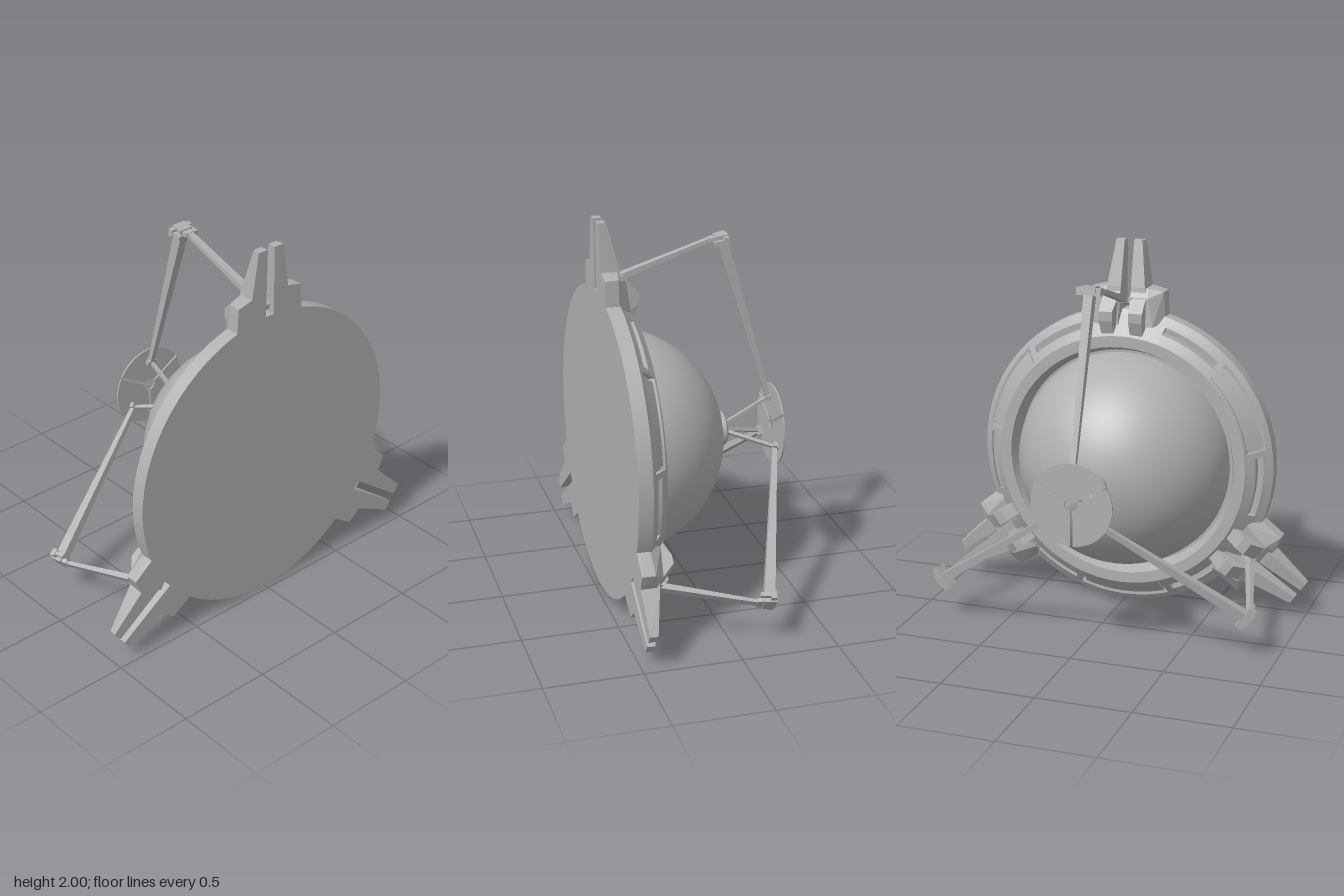
import * as THREE from 'three';
import { toCreasedNormals } from 'three/addons/utils/BufferGeometryUtils.js';
import { ConvexGeometry } from 'three/addons/geometries/ConvexGeometry.js';

const grey = new THREE.MeshStandardMaterial({ color: 0xb0b0b0 });
grey.name = 'hull grey';
const D = Math.PI / 180;

function add(parent, name, geometry) {
  const mesh = new THREE.Mesh(geometry, grey);
  mesh.name = name;
  parent.add(mesh);
  return mesh;
}

// Solid of revolution about the x axis from [radius, x] points
function turned(points, segments = 64, crease = 0.45) {
  const g = new THREE.LatheGeometry(points.map(p => new THREE.Vector2(...p)), segments);
  g.rotateZ(-Math.PI / 2);
  return toCreasedNormals(g, crease);
}

// Part of a ring: a [radius, x] section swept between two angles in degrees
function sector(section, from, to) {
  const shape = new THREE.Shape(section.map(p => new THREE.Vector2(...p)));
  const steps = Math.max(1, Math.ceil((to - from) / 5));
  const g = new THREE.ExtrudeGeometry(shape, { depth: 1, steps, bevelEnabled: false });
  const pos = g.attributes.position;
  for (let i = 0; i < pos.count; i++) {
    const r = pos.getX(i), x = pos.getY(i), a = (from + (to - from) * pos.getZ(i)) * D;
    pos.setXYZ(i, x, r * Math.sin(a), r * Math.cos(a));
  }
  return toCreasedNormals(g, 0.45);
}

// Tapered bar between two [x, radius] points; sizes are [in plane, across]
function bar(parent, name, a, b, sizeA, sizeB) {
  const dx = b[0] - a[0], dy = b[1] - a[1], len = Math.hypot(dx, dy);
  const g = new THREE.BoxGeometry(1, len, 1);
  const pos = g.attributes.position;
  for (let i = 0; i < pos.count; i++) {
    const s = pos.getY(i) < 0 ? sizeA : sizeB;
    pos.setX(i, pos.getX(i) * s[0]);
    pos.setZ(i, pos.getZ(i) * s[1]);
  }
  g.computeVertexNormals();
  const mesh = add(parent, name, g);
  mesh.position.set((a[0] + b[0]) / 2, (a[1] + b[1]) / 2, 0);
  mesh.rotation.z = Math.atan2(-dx, dy);
}

function box(parent, name, size, at, tilt = 0) {
  const mesh = add(parent, name, new THREE.BoxGeometry(...size));
  mesh.position.set(...at);
  mesh.rotation.z = tilt;
}

// Convex block from [x, radius, inner z, outer z] stations, placed on one side
function block(parent, name, stations, side) {
  const pts = stations.flatMap(([x, r, z0, z1]) =>
    [new THREE.Vector3(x, r, z0 * side), new THREE.Vector3(x, r, z1 * side)]);
  add(parent, name, new ConvexGeometry(pts));
}

function makeBracket() {
  const g = new THREE.Group();
  g.name = 'bracket';
  for (const s of [-1, 1]) {
    block(g, 'prong', [
      [0.47, 1.18, 0.022, 0.08], [0.427, 1.18, 0.026, 0.072],
      [0.47, 0.80, 0.026, 0.14], [0.37, 0.94, 0.028, 0.105], [0.35, 0.80, 0.028, 0.12]], s);
    block(g, 'shoulder', [
      [0.47, 0.94, 0.03, 0.125], [0.47, 0.92, 0.03, 0.205], [0.40, 0.92, 0.03, 0.2],
      [0.385, 0.935, 0.03, 0.12], [0.345, 0.89, 0.03, 0.13],
      [0.47, 0.76, 0.03, 0.212], [0.40, 0.76, 0.03, 0.212], [0.33, 0.74, 0.03, 0.16]], s);
    block(g, 'cheek', [
      [0.40, 0.92, 0.035, 0.12], [0.34, 0.885, 0.035, 0.12], [0.275, 0.82, 0.045, 0.12],
      [0.275, 0.77, 0.045, 0.12], [0.31, 0.67, 0.045, 0.11], [0.40, 0.67, 0.035, 0.12]], s);
  }
  return g;
}

function makeArm() {
  const g = new THREE.Group();
  g.name = 'foldingArm';
  const base = [0.44, 0.846], elbow = [-0.185, 1.035], tip = [-0.45, 0.15];
  // Lower link running into the slot
  bar(g, 'lowerLink', base, [-0.13, 1.035], [0.035, 0.045], [0.018, 0.035]);
  bar(g, 'linkFork', [-0.12, 1.033], elbow, [0.02, 0.05], [0.03, 0.06]);
  box(g, 'basePivot', [0.03, 0.03, 0.09], [0.35, 0.876, 0]);
  // Elbow joint
  box(g, 'elbowJoint', [0.065, 0.045, 0.075], [elbow[0], elbow[1], 0], -0.15);
  for (const s of [-1, 1]) {
    box(g, 'elbowLug', [0.08, 0.022, 0.022], [-0.175, 1.025, 0.05 * s], -0.15);
    box(g, 'elbowCap', [0.028, 0.04, 0.03], [-0.2, 1.032, 0.05 * s], -0.15);
  }
  // Upper link, tip hinge and thin strut to the hub
  bar(g, 'upperLink', elbow, tip, [0.055, 0.05], [0.024, 0.026]);
  box(g, 'tipHinge', [0.022, 0.028, 0.055], [-0.45, 0.15, 0], -0.3);
  box(g, 'tipFoot', [0.025, 0.02, 0.025], [-0.462, 0.155, 0]);
  bar(g, 'strut', tip, [-0.19, 0.01], [0.016, 0.018], [0.02, 0.02]);
  return g;
}

// One petal of the slit front plate
function makePetal() {
  const shape = new THREE.Shape();
  shape.absarc(0, 0, 0.218, 30 * D + 0.03, 150 * D - 0.03, false);
  shape.absarc(0, 0, 0.035, 150 * D - 0.19, 30 * D + 0.19, true);
  const g = new THREE.ExtrudeGeometry(shape, { depth: 0.008, bevelEnabled: false, curveSegments: 16 });
  g.rotateY(Math.PI / 2);
  g.translate(-0.475, 0, 0);
  return g;
}

// Sloping rim between two brackets: a framed middle panel and two narrow side slots
function makeBay(middle, halfSpan) {
  const g = new THREE.Group();
  g.name = 'rimBay';
  const full = [[0.695, 0.295], [0.79, 0.375], [0.79, 0.385], [0.695, 0.385]];
  const innerBand = [[0.695, 0.295], [0.737, 0.33], [0.737, 0.385], [0.695, 0.385]];
  const outerBand = [[0.772, 0.36], [0.79, 0.375], [0.79, 0.385], [0.772, 0.385]];
  const sunk = [[0.695, 0.325], [0.765, 0.38], [0.695, 0.38]];
  const inset = [[0.695, 0.309], [0.775, 0.377], [0.695, 0.377]];
  const part = (name, section, a, b) => add(g, name, sector(section, middle + a, middle + b));

  part('panelFloor', sunk, -18.5, 18.5);
  part('middlePanel', inset, -17, 17);
  for (const s of [-1, 1]) {
    const span = (a, b) => (s > 0 ? [a, b] : [-b, -a]);
    part('rimRib', full, ...span(18.5, 21));
    part('slotInnerBand', innerBand, ...span(21, 46));
    part('slotOuterBand', outerBand, ...span(21, 46));
    part('rimEnd', full, ...span(46, halfSpan));
  }
  return g;
}

export function createModel() {
  const root = new THREE.Group();
  root.name = 'domedDevice';
  const body = new THREE.Group();
  body.name = 'body';
  body.position.y = 0.82;
  root.add(body);

  // Flange with flat back, stepped rim and groove around the dome
  add(body, 'flange', turned([
    [0.45, 0.37], [0.60, 0.37], [0.63, 0.29], [0.69, 0.29], [0.70, 0.30], [0.70, 0.38],
    [0.79, 0.375], [0.817, 0.395], [0.817, 0.47], [0, 0.47]]));

  // Dome
  const dome = [];
  for (let i = 0; i <= 24; i++) {
    const a = (i / 24) * 88 * D;
    dome.push([0.587 * Math.sin(a), 0.407 - 0.587 * Math.cos(a)]);
  }
  add(body, 'dome', turned(dome, 64, 0.8));

  // Hub at the dome's tip
  add(body, 'hub', turned([
    [0, -0.212], [0.075, -0.212], [0.09, -0.2], [0.09, -0.182], [0.08, -0.165], [0.08, -0.14]], 32));

  // Three bracketed arms; the lower two sit slightly closer together
  const spread = 125.5;
  for (const turn of [0, spread, -spread]) {
    const leg = new THREE.Group();
    leg.name = 'leg';
    leg.rotation.x = turn * D;
    leg.add(makeBracket(), makeArm());
    body.add(leg);
  }

  // Rim bays centred between neighbouring brackets
  body.add(makeBay(90 - spread / 2, spread / 2), makeBay(90 + spread / 2, spread / 2), makeBay(270, 180 - spread));

  // Front plate of three petals
  for (let i = 0; i < 3; i++) {
    add(body, 'platePetal', makePetal()).rotation.x = i * 120 * D;
  }
  return root;
}
